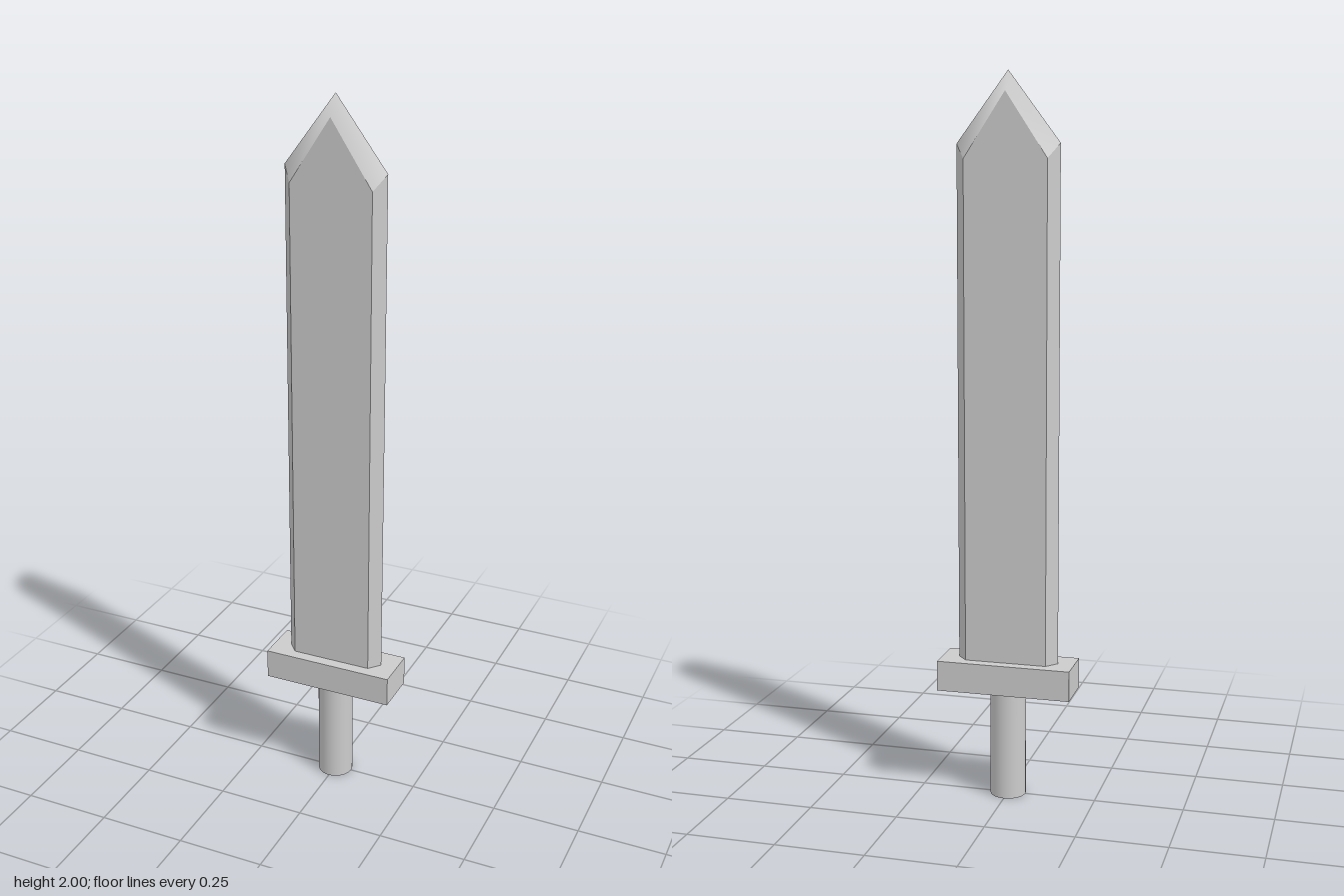
import * as THREE from 'three';
import { mergeVertices } from 'three/addons/utils/BufferGeometryUtils.js';

const material = new THREE.MeshStandardMaterial({ color: 0xcccccc });

// Fan-triangulates convex polygons and repeats them turned half round the y axis
function panels(polygons, smooth) {
  const positions = [];
  for (const s of [1, -1]) {
    for (const poly of polygons) {
      for (let i = 1; i < poly.length - 1; i++) {
        for (const [x, y, z] of [poly[0], poly[i], poly[i + 1]]) positions.push(s * x, y, s * z);
      }
    }
  }
  let geometry = new THREE.BufferGeometry();
  geometry.setAttribute('position', new THREE.Float32BufferAttribute(positions, 3));
  if (smooth) geometry = mergeVertices(geometry);
  geometry.computeVertexNormals();
  return geometry;
}

export function createModel() {
  const group = new THREE.Group();
  const add = (name, geometry, y = 0) => {
    const mesh = new THREE.Mesh(geometry, material);
    mesh.name = name;
    mesh.position.y = y;
    group.add(mesh);
  };

  // Grip and crossguard
  add('grip', new THREE.CylinderGeometry(0.05, 0.05, 0.305, 32), 0.1525);
  add('crossguard', new THREE.BoxGeometry(0.378, 0.085, 0.13), 0.3475);

  // Blade corners: e = cutting edge, f = edge of the flat face
  const base = 0.39, edgeX = 0.143, flatX = 0.115, flatZ = 0.033;
  const e = (side, y) => [side * edgeX, y, 0];
  const f = (side, y) => [side * flatX, y, flatZ];
  const edgeTop = 1.81, flatTop = 1.77;
  const tip = [0, 2, 0], flatTip = [0, 1.945, flatZ];

  // Flat faces and long bevels
  add('blade', panels([
    [flatTip, f(-1, flatTop), f(-1, base), f(1, base), f(1, flatTop)],
    [f(1, base), e(1, base), e(1, edgeTop), f(1, flatTop)],
    [e(-1, base), f(-1, base), f(-1, flatTop), e(-1, edgeTop)],
  ], false));

  // Softly shaded bevels of the point
  add('bladePoint', panels([
    [e(1, edgeTop), tip, flatTip, f(1, flatTop)],
    [tip, e(-1, edgeTop), f(-1, flatTop), flatTip],
  ], true));

  return group;
}
